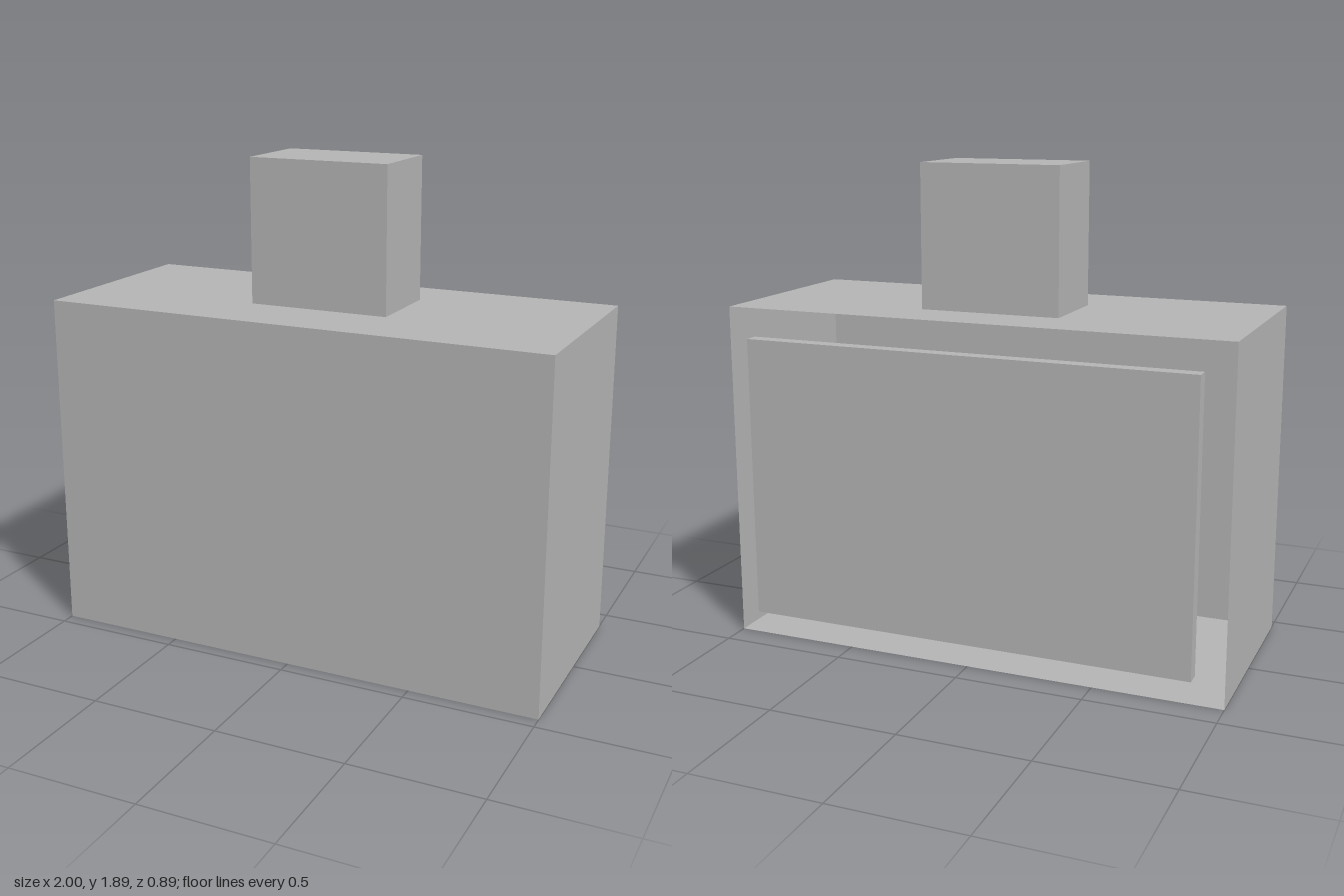
import * as THREE from 'three';

const grey = new THREE.MeshStandardMaterial({ color: 0xb3b3b3, side: THREE.DoubleSide });
grey.name = 'plain grey';

// Box given by its size, base height and centre in z
function block(name, w, h, d, y, z) {
  const geometry = new THREE.BoxGeometry(w, h, d);
  geometry.translate(0, y + h / 2, z);
  const mesh = new THREE.Mesh(geometry, grey);
  mesh.name = name;
  return mesh;
}

export function createModel() {
  const model = new THREE.Group();
  model.name = 'model';

  // Thin-walled housing, open at the back: the last face (-z) is left out
  const housing = block('housing', 2, 1.333, 0.833, 0, 0.028);
  const index = Array.from(housing.geometry.index.array).slice(0, 30);
  housing.geometry.setIndex(index);
  housing.geometry.clearGroups();
  model.add(housing);

  // Rear panel, set in from the rim of the opening and standing behind it
  model.add(block('rearPanel', 1.778, 1.111, 0.056, 0.111, -0.417));

  // Block on top of the housing
  model.add(block('topBlock', 0.556, 0.556, 0.333, 1.333, 0));

  return model;
}
